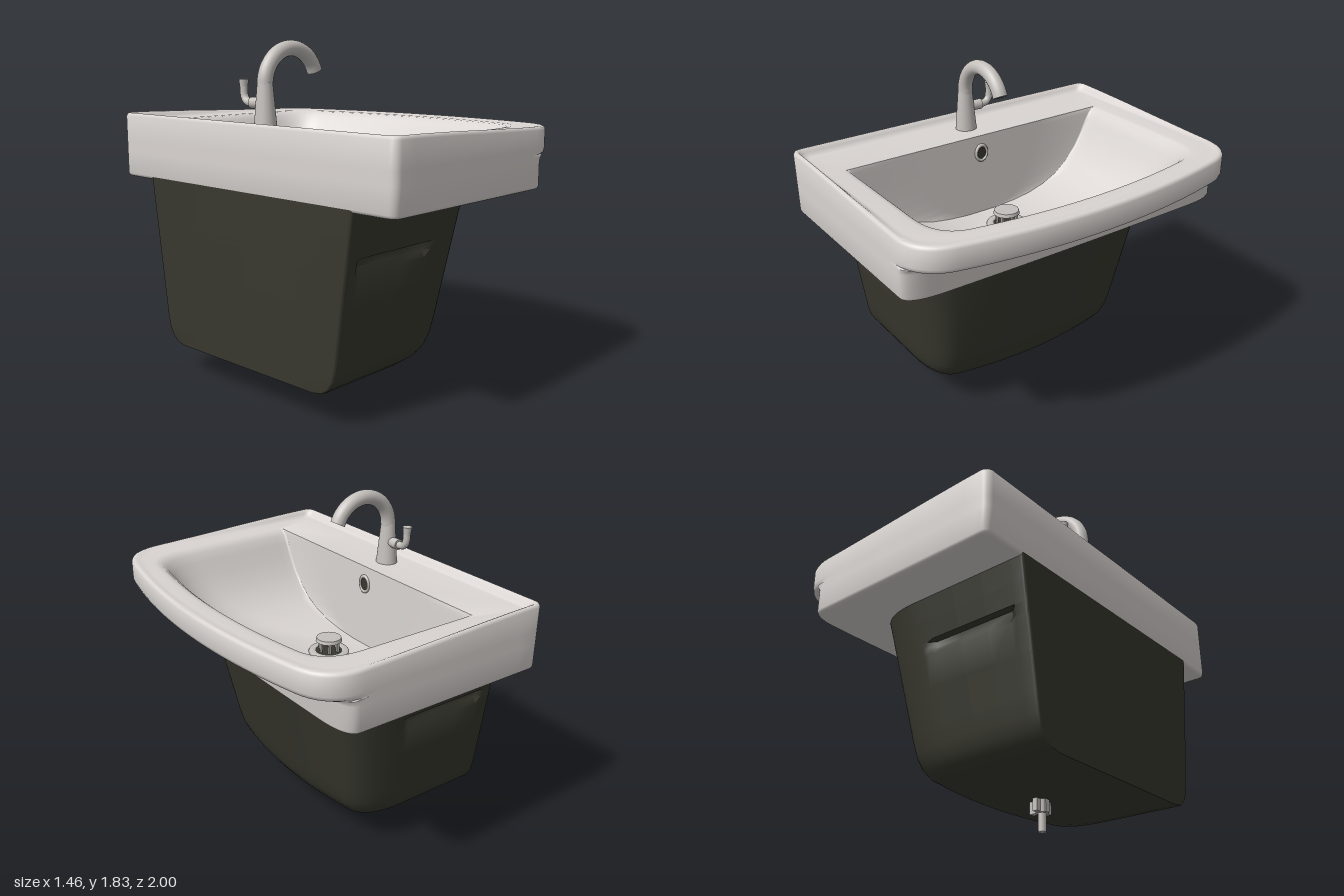
import * as THREE from 'three';
import { toCreasedNormals } from 'three/addons/utils/BufferGeometryUtils.js';

const mat = (name, color, side = THREE.FrontSide) =>
  Object.assign(new THREE.MeshStandardMaterial({ color, side }), { name });

// Closed plan outline: square back at x0, bowed front at x1, half width zh.
// Returns [x, z] points, anticlockwise seen from above.
function outline({ x0, x1, zh, bow = 0.1, rf = 0.2, rb = 0.04, indent = 0 }) {
  const half = [[x0, 0], [x0, (zh - rb) / 2]];
  for (let i = 0; i <= 4; i++) {
    const a = (i / 4) * Math.PI / 2;
    half.push([x0 + rb - rb * Math.cos(a), zh - rb + rb * Math.sin(a)]);
  }
  const q = 0.8;
  const cx = x1 - bow * q * q - 2 * bow * q * (1 - q);
  const start = cx - rf;
  for (const f of [0.09, 0.14, 0.35, 0.62, 0.88, 0.94]) {
    const x = x0 + rb + (start - x0 - rb) * f;
    half.push([x, zh - (f > 0.12 && f < 0.91 ? indent : 0)]);
  }
  const ex = x1 - bow * q * q, ez = zh * q;
  for (let i = 0; i <= 10; i++) {
    const t = i / 10, u = 1 - t;
    half.push([u * u * start + 2 * u * t * cx + t * t * ex, u * u * zh + 2 * u * t * zh + t * t * ez]);
  }
  for (let i = 1; i <= 10; i++) {
    const s = q * (1 - i / 10);
    half.push([x1 - bow * s * s, zh * s]);
  }
  const mirrored = half.slice(1, -1).reverse().map(([x, z]) => [x, -z]);
  return [...half, ...mirrored];
}

// Skin over rings of equal point count; optional centre points close the ends.
function loft(rings, crease, startCentre, endCentre) {
  const n = rings[0].length;
  const all = [...rings];
  if (startCentre) all.unshift(Array(n).fill(startCentre));
  if (endCentre) all.push(Array(n).fill(endCentre));
  const pos = [];
  const tri = (a, b, c) => {
    if (a !== b && b !== c && a !== c) pos.push(...a, ...b, ...c);
  };
  for (let k = 0; k < all.length - 1; k++) {
    for (let i = 0; i < n; i++) {
      const j = (i + 1) % n;
      tri(all[k][i], all[k][j], all[k + 1][j]);
      tri(all[k][i], all[k + 1][j], all[k + 1][i]);
    }
  }
  const g = new THREE.BufferGeometry();
  g.setAttribute('position', new THREE.Float32BufferAttribute(pos, 3));
  return toCreasedNormals(g, crease);
}

const ring = (plan, y) => outline(plan).map(([x, z]) => [x, typeof y === 'function' ? y(x) : y, z]);

export function createModel() {
  const model = new THREE.Group();
  const porcelain = mat('porcelain', 0xdad5d2, THREE.DoubleSide);
  const metal = mat('brushed metal', 0xc4c0bc);
  const charcoal = mat('charcoal', 0x38382f);

  const add = (name, geometry, material, x = 0, y = 0, z = 0, parent = model) => {
    const mesh = new THREE.Mesh(geometry, material);
    mesh.name = name;
    mesh.position.set(x, y, z);
    parent.add(mesh);
    return mesh;
  };

  // Basin: stepped underside, raised rim, flat deck and bowl in one skin
  const lower = (d) => ({ x0: -0.73 + d, x1: 0.505 - d, zh: 1 - d, bow: 0.012, rf: 0.075 });
  const upper = (d, front = 0) => ({ x0: -0.73 + d, x1: 0.733 - d - front, zh: 1 - d, bow: 0.14, rf: 0.2 });
  const rim = (keep, drop = 0) => (x) =>
    1.388 + (0.042 - 0.037 * THREE.MathUtils.smoothstep(x, -0.75, 0.6)) * keep - drop;
  const bowl = (f) => ({ x0: -0.4, x1: -0.4 + 0.99 * f, zh: 0.83 * f, bow: 0.1 * f, rf: 0.22 * f, rb: 0.015 * f });
  const basinRings = [
    ring({ x0: -0.71, x1: 0.38, zh: 0.69, bow: 0.15 }, 1.07),
    ring(lower(0.015), 1.07),
    ring(lower(0.005), 1.075),
    ring(lower(0), 1.088),
    ring(lower(0), 1.215),
    ring({ ...lower(0), x1: 0.513 }, 1.235),
    ring({ ...lower(0), x1: 0.535, bow: 0.025 }, 1.246),
    ring(upper(0, 0.03), 1.252),
    ring(upper(0, 0.008), 1.26),
    ring(upper(0), 1.28),
    ring(upper(0), rim(1, 0.018)),
    ring(upper(0.005), rim(1, 0.005)),
    ring(upper(0.014), rim(1)),
    ring(upper(0.022), rim(0.92)),
    ring(upper(0.032), rim(0.5)),
    ring(upper(0.046), rim(0.05)),
    ring(upper(0.06), 1.388),
    ring(bowl(1.03), 1.388),
    ...[[1, 1.384], [0.97, 1.358], [0.94, 1.312], [0.9, 1.245], [0.84, 1.16], [0.76, 1.08],
      [0.66, 1.015], [0.55, 0.97], [0.42, 0.938], [0.28, 0.92], [0.12, 0.91]].map(([f, y]) => ring(bowl(f), y)),
  ];
  add('basin', loft(basinRings, 0.95, null, [-0.38, 0.908, 0]), porcelain);

  // Shroud: tapering box under the basin with a finger groove on each side
  const shroudRing = (y, x1, zh, bow = 0.08, indent = 0) =>
    ring({ x0: -0.73, x1, zh, bow, rf: 0.24, rb: 0.015, indent }, y);
  const taper = (y, indent) => shroudRing(y, 0.39 - 0.298 * (1.07 - y), 0.75 - 0.137 * (1.07 - y),
    0.175 - 0.135 * (1.07 - y), indent);
  const shroudRings = [
    shroudRing(0.165, 0.0, 0.51),
    shroudRing(0.175, 0.06, 0.565),
    shroudRing(0.205, 0.105, 0.605),
    shroudRing(0.25, 0.138, 0.632),
    shroudRing(0.31, 0.165, 0.646),
    taper(0.4), taper(0.6), taper(0.765), taper(0.8, 0.024), taper(0.834, 0.028),
    taper(0.844), taper(0.95), taper(1.085),
  ];
  add('shroud', loft(shroudRings, 0.7, [-0.4, 0.165, 0]), charcoal);

  // Faucet: tapered body, gooseneck spout and dark outlet
  const faucet = new THREE.Group();
  faucet.name = 'faucet';
  model.add(faucet);
  const body = add('faucetBody', new THREE.CylinderGeometry(0.041, 0.063, 0.24, 32), metal, -0.553, 1.5, 0, faucet);
  body.scale.x = 0.93;
  const arc = [];
  for (let i = 0; i <= 14; i++) {
    const a = Math.PI * (1 - (i / 14) * 0.885);
    arc.push(new THREE.Vector3(-0.37 + 0.183 * Math.cos(a), 1.607 + 0.183 * Math.sin(a), 0));
  }
  add('spout', new THREE.TubeGeometry(new THREE.CatmullRomCurve3(arc), 48, 0.041, 20), metal, 0, 0, 0, faucet);
  const tip = arc[14];
  const flow = new THREE.Vector3().subVectors(tip, arc[13]).normalize();
  const endDisc = (name, r, material, off) => {
    const m = add(name, new THREE.CircleGeometry(r, 24), material, 0, 0, 0, faucet);
    m.position.copy(tip).addScaledVector(flow, off);
    m.quaternion.setFromUnitVectors(new THREE.Vector3(0, 0, 1), flow);
  };
  endDisc('spoutEnd', 0.041, metal, 0);
  endDisc('outlet', 0.032, charcoal, 0.002);

  // Lever: stub bending upwards to a flared tip
  const lever = new THREE.CatmullRomCurve3([[1.515, -0.03], [1.515, -0.11], [1.522, -0.14], [1.545, -0.158], [1.6, -0.163]]
    .map(([y, z]) => new THREE.Vector3(-0.552, y, z)));
  add('leverArm', new THREE.TubeGeometry(lever, 24, 0.021, 12), metal, 0, 0, 0, faucet);
  add('leverCollar', new THREE.CylinderGeometry(0.028, 0.03, 0.06, 20), metal, -0.552, 1.515, -0.07, faucet)
    .rotation.x = Math.PI / 2;
  add('leverTip', new THREE.CylinderGeometry(0.026, 0.019, 0.055, 16), metal, -0.552, 1.607, -0.163, faucet);

  // Drain: flange ring, well and raised stopper on legs
  const drain = new THREE.Group();
  drain.name = 'drain';
  drain.position.set(-0.15, 0.935, 0);
  model.add(drain);
  const flange = [[0.112, -0.025], [0.115, 0], [0.11, 0.008], [0.082, 0.011], [0.075, 0.004]]
    .map(([r, y]) => new THREE.Vector2(r, y));
  add('drainFlange', new THREE.LatheGeometry(flange, 40), metal, 0, 0, 0, drain);
  add('drainWell', new THREE.CircleGeometry(0.078, 32), charcoal, 0, 0.005, 0, drain).rotation.x = -Math.PI / 2;
  add('stopper', new THREE.CylinderGeometry(0.07, 0.075, 0.02, 32), metal, 0, 0.075, 0, drain);
  for (let i = 0; i < 6; i++) {
    const a = (i / 6) * Math.PI * 2;
    add('stopperLeg', new THREE.BoxGeometry(0.014, 0.065, 0.014), metal, 0.055 * Math.cos(a), 0.036, 0.055 * Math.sin(a), drain);
  }

  // Overflow hole in the back wall of the bowl
  const overflow = new THREE.Group();
  overflow.name = 'overflow';
  overflow.position.set(-0.397, 1.285, 0);
  overflow.rotation.y = Math.PI / 2;
  overflow.scale.x = 0.8;
  model.add(overflow);
  add('overflowRing', new THREE.TorusGeometry(0.045, 0.01, 10, 32), metal, 0, 0, 0, overflow);
  add('overflowHole', new THREE.CircleGeometry(0.04, 24), charcoal, 0, 0, 0.003, overflow);

  // Waste pipe with its small valve under the shroud
  add('wastePipe', new THREE.CylinderGeometry(0.021, 0.021, 0.18, 20), metal, -0.243, 0.09, 0);
  add('pipeNut', new THREE.CylinderGeometry(0.034, 0.034, 0.07, 20), metal, -0.243, 0.132, 0);
  add('valveBar', new THREE.BoxGeometry(0.104, 0.066, 0.03), metal, -0.227, 0.132, 0);
  add('valveHandle', new THREE.BoxGeometry(0.028, 0.066, 0.12), metal, -0.243, 0.132, 0);

  return model;
}
